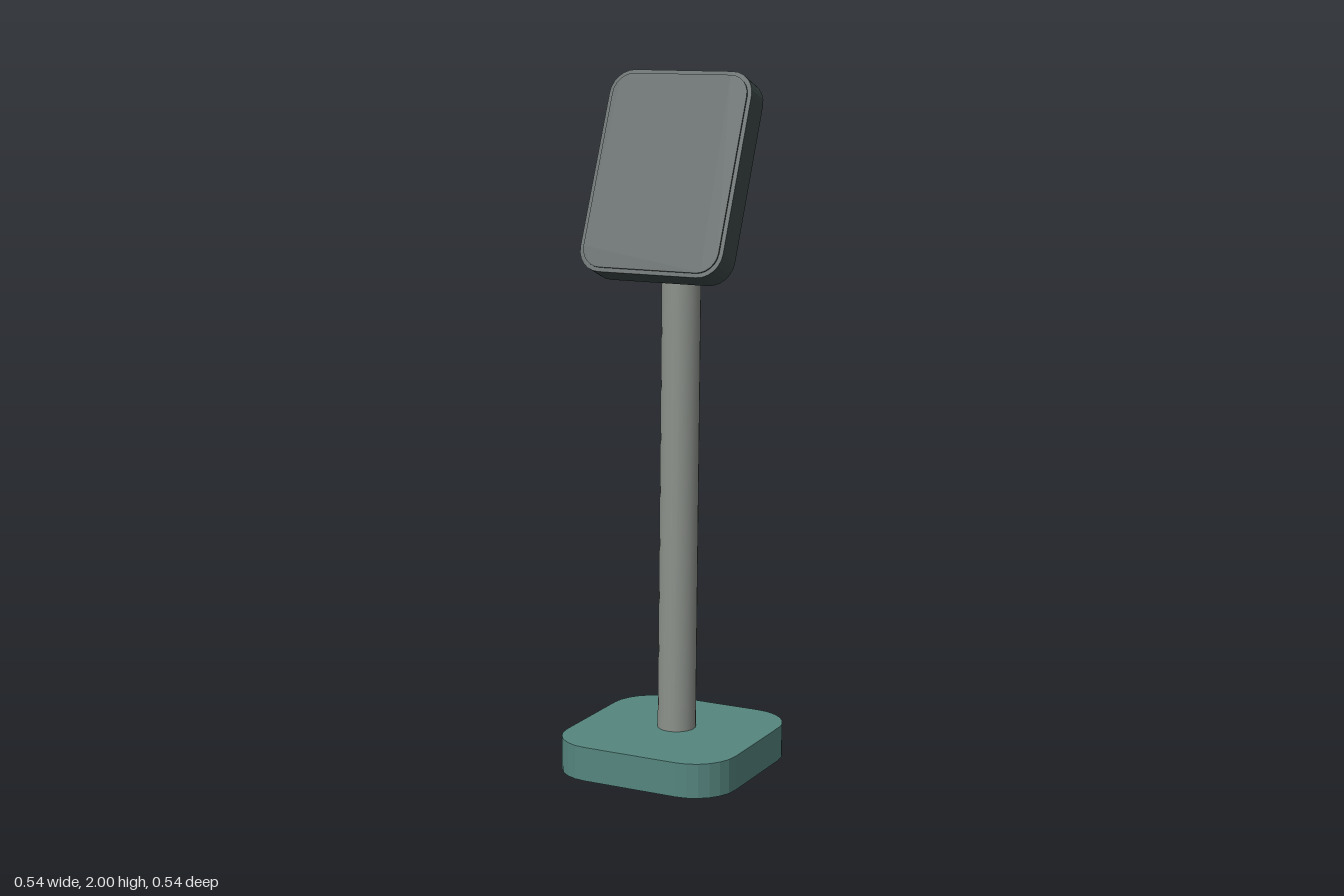
import * as THREE from 'three';

// Rounded-corner slab, centred in x/y, extruded from z = 0 to z = depth
function roundedSlab(width, height, radius, depth) {
  const w = width / 2, h = height / 2, q = Math.PI / 2;
  const shape = new THREE.Shape();
  shape.moveTo(w, -h + radius);
  shape.absarc(w - radius, h - radius, radius, 0, q, false);
  shape.absarc(-w + radius, h - radius, radius, q, 2 * q, false);
  shape.absarc(-w + radius, -h + radius, radius, 2 * q, 3 * q, false);
  shape.absarc(w - radius, -h + radius, radius, 3 * q, 4 * q, false);
  return new THREE.ExtrudeGeometry(shape, { depth, bevelEnabled: false, curveSegments: 3 });
}

export function createModel() {
  const teal = new THREE.MeshStandardMaterial({ color: 0x55857e });
  const grey = new THREE.MeshStandardMaterial({ color: 0x8b908a });
  const charcoal = new THREE.MeshStandardMaterial({ color: 0x3b4846 });
  teal.name = 'teal base';
  grey.name = 'grey post';
  charcoal.name = 'charcoal panel';

  const model = new THREE.Group();
  model.name = 'displayStand';
  const add = (parent, name, geometry, material) => {
    const mesh = new THREE.Mesh(geometry, material);
    mesh.name = name;
    parent.add(mesh);
    return mesh;
  };

  // Foot plate lying on the ground
  const base = roundedSlab(0.544, 0.544, 0.127, 0.1);
  base.rotateX(-Math.PI / 2);
  add(model, 'base', base, teal);

  // Post leaning slightly backwards
  const bottom = new THREE.Vector3(0, 0.05, -0.022);
  const top = new THREE.Vector3(0, 1.668, -0.058);
  const axis = top.clone().sub(bottom);
  const post = add(model, 'post', new THREE.CylinderGeometry(0.056, 0.056, axis.length(), 24), grey);
  post.position.copy(bottom).add(top).multiplyScalar(0.5);
  post.quaternion.setFromUnitVectors(new THREE.Vector3(0, 1, 0), axis.normalize());

  // Tilted panel: housing with a thin raised front plate
  const panel = new THREE.Group();
  panel.name = 'panel';
  panel.position.set(0, 1.709, 0.0105);
  panel.rotation.x = THREE.MathUtils.degToRad(-22.5);
  model.add(panel);
  add(panel, 'panelHousing', roundedSlab(0.444, 0.594, 0.07, 0.082), charcoal).position.z = -0.041;
  add(panel, 'frontPlate', roundedSlab(0.42, 0.57, 0.06, 0.005), charcoal).position.z = 0.041;

  return model;
}
